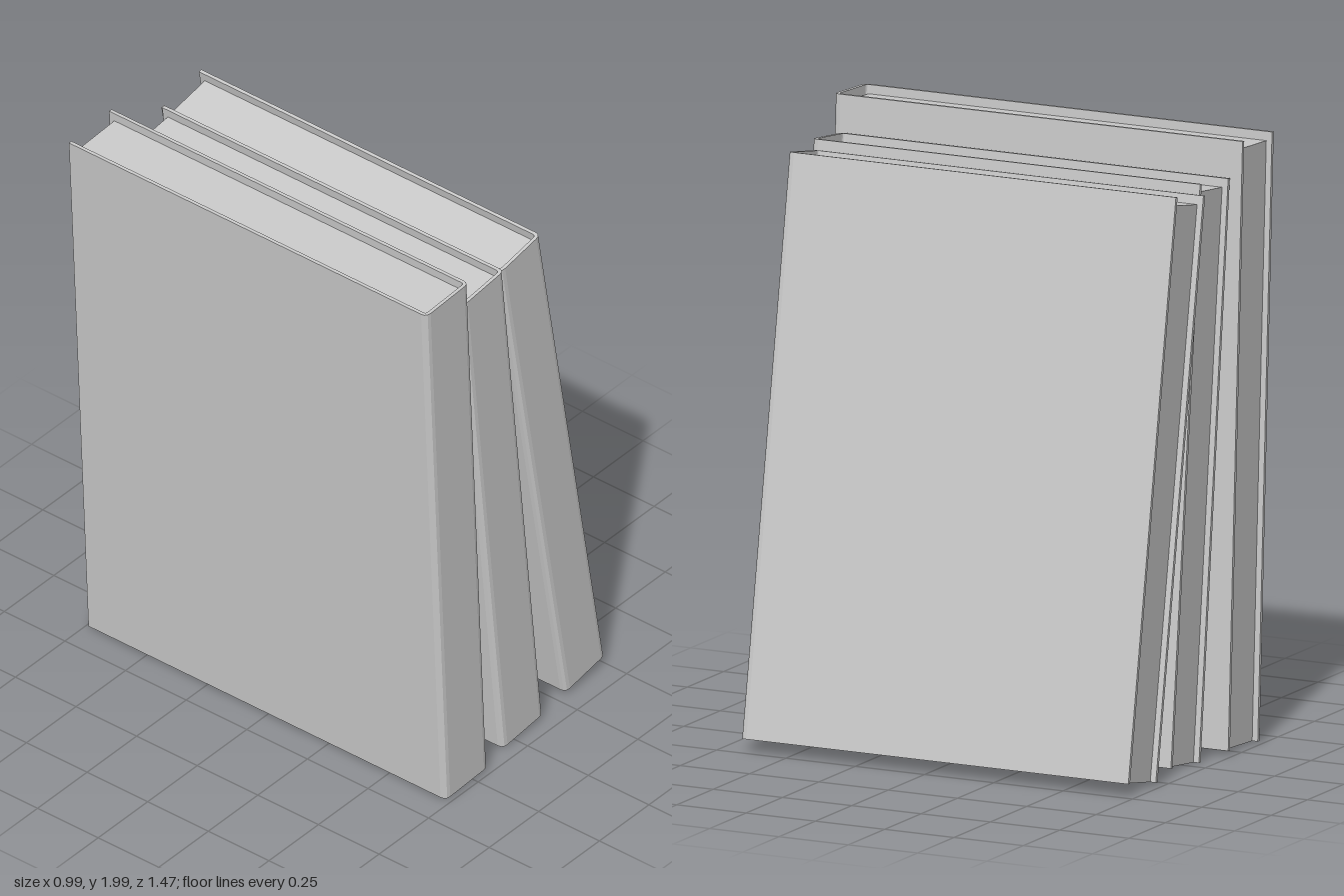
import * as THREE from 'three';

const T = 0.012;       // cover thickness
const ROUND = 0.022;   // spine corner rounding
const RECESS = 0.03;   // page top below cover top
const INSET = 0.02;    // page fore-edge behind cover edge
const GAP = 0.007;     // space between pages and spine

// U-shaped outline: spine at the front, open at the back (shape y = -z)
function coverShape(w, zBack, zFront) {
  const s = new THREE.Shape(), r = ROUND, q = ROUND - T;
  const f = -zFront, b = -zBack;
  s.moveTo(0, b);
  s.lineTo(0, f + r);
  s.quadraticCurveTo(0, f, r, f);
  s.lineTo(w - r, f);
  s.quadraticCurveTo(w, f, w, f + r);
  s.lineTo(w, b);
  s.lineTo(w - T, b);
  s.lineTo(w - T, f + T + q);
  s.quadraticCurveTo(w - T, f + T, w - T - q, f + T);
  s.lineTo(T + q, f + T);
  s.quadraticCurveTo(T, f + T, T, f + T + q);
  s.lineTo(T, b);
  s.closePath();
  return s;
}

// A book whose lower left spine edge is its origin, leaning towards -x
function book({ name, x, y, w, h, zBack, zFront, lean }) {
  const group = new THREE.Group();
  group.name = name;
  const material = new THREE.MeshStandardMaterial({ color: 0xcccccc });

  const coverGeo = new THREE.ExtrudeGeometry(coverShape(w, zBack, zFront), {
    depth: h, bevelEnabled: false, curveSegments: 3,
  });
  coverGeo.rotateX(-Math.PI / 2);
  const cover = new THREE.Mesh(coverGeo, material);
  cover.name = 'cover';

  // Pages: a top sheet and a fore-edge sheet, open underneath
  const pw = w - 2 * T, ph = h - RECESS;
  const z0 = zBack + INSET, z1 = zFront - T - GAP;
  const top = new THREE.Mesh(new THREE.PlaneGeometry(pw, z1 - z0), material);
  top.name = 'pageTops';
  top.rotation.x = -Math.PI / 2;
  top.position.set(w / 2, ph, (z0 + z1) / 2);

  const edge = new THREE.Mesh(new THREE.PlaneGeometry(pw, ph), material);
  edge.name = 'pageForeEdge';
  edge.rotation.y = Math.PI;
  edge.position.set(w / 2, ph / 2, z0);

  group.add(cover, top, edge);
  group.position.set(x, y, 0);
  group.rotation.z = THREE.MathUtils.degToRad(lean);
  return group;
}

export function createModel() {
  const model = new THREE.Group();
  model.name = 'leaningBooks';
  const books = [
    { name: 'tallBook', x: -0.397, y: 0.01, w: 0.215, h: 1.98, zBack: -0.737, zFront: 0.737, lean: 2.85 },
    { name: 'middleBook', x: -0.06, y: 0.004, w: 0.206, h: 1.885, zBack: -0.702, zFront: 0.698, lean: 6.1 },
    { name: 'endBook', x: 0.29, y: 0.013, w: 0.204, h: 1.885, zBack: -0.73, zFront: 0.67, lean: 10 },
  ];
  for (const b of books) model.add(book(b));
  return model;
}
